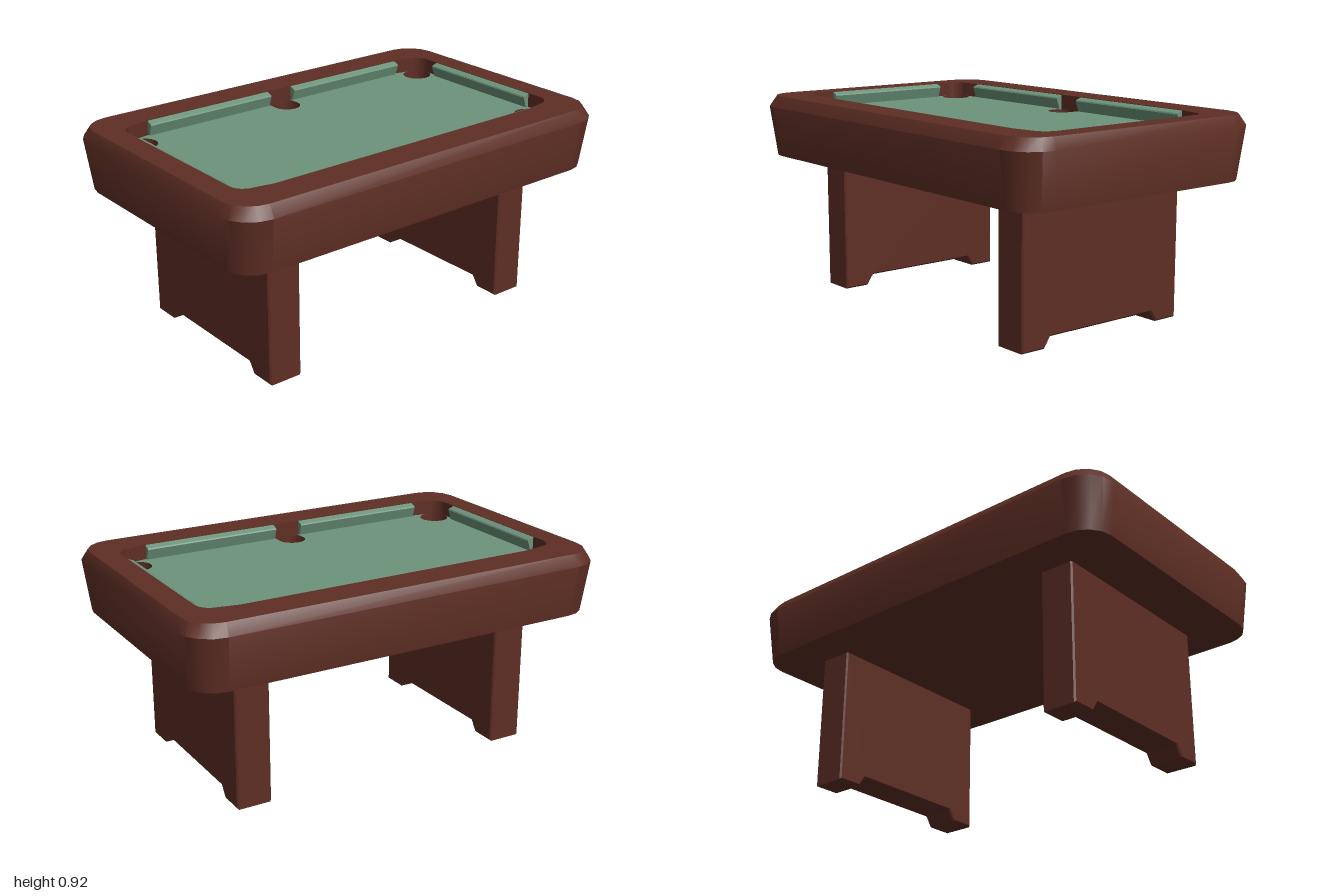
import * as THREE from 'three';
import { toCreasedNormals } from 'three/addons/utils/BufferGeometryUtils.js';

const wood = new THREE.MeshStandardMaterial({ color: 0x5e2e24 });
wood.name = 'wood';
const cloth = new THREE.MeshStandardMaterial({ color: 0x6d937b });
cloth.name = 'cloth';

const TOP = 0.915, BED = 0.848, FLOOR = 0.79; // main heights
const OX = 0.865, OZ = 0.47;                  // half size of the opening
const CORNER = { x: 0.797, z: 0.385, r: 0.068 };
const MIDDLE = { x: 0, z: 0.41, r: 0.062 };

// points on an arc, angles in degrees
function arc(cx, cy, r, from, to, n) {
  return Array.from({ length: n + 1 }, (_, i) => {
    const a = THREE.MathUtils.degToRad(from + (to - from) * i / n);
    return new THREE.Vector2(cx + r * Math.cos(a), cy + r * Math.sin(a));
  });
}

// mirror one quarter of an outline into all four, counterclockwise
function fourQuarters(quarter) {
  const flip = (sx, sy) => quarter.map(p => new THREE.Vector2(p.x * sx, p.y * sy));
  return [...flip(1, 1), ...flip(-1, 1).reverse(), ...flip(-1, -1), ...flip(1, -1).reverse()];
}

function roundedRect(hx, hz, r) {
  return fourQuarters(arc(hx - r, hz - r, r, 0, 90, 4));
}

// side skin through rings of equal point count
function loft(rings) {
  const pos = [], index = [], n = rings[0].points.length;
  for (const { y, points } of rings) for (const p of points) pos.push(p.x, y, p.y);
  for (let k = 0; k < rings.length - 1; k++) {
    for (let i = 0; i < n; i++) {
      const a = k * n + i, b = k * n + (i + 1) % n;
      index.push(a, a + n, b, b, a + n, b + n);
    }
  }
  const g = new THREE.BufferGeometry();
  g.setAttribute('position', new THREE.Float32BufferAttribute(pos, 3));
  g.setIndex(index);
  return toCreasedNormals(g, 0.72);
}

export function createModel() {
  const model = new THREE.Group();
  model.name = 'poolTable';
  const add = (name, geometry, material, x = 0, y = 0, z = 0, turn = 0) => {
    const mesh = new THREE.Mesh(geometry, material);
    mesh.name = name;
    mesh.position.set(x, y, z);
    mesh.rotation.y = turn;
    model.add(mesh);
    return mesh;
  };
  const flat = points => new THREE.ShapeGeometry(new THREE.Shape(points)).rotateX(-Math.PI / 2);

  // cabinet: flared sides with a bevelled upper edge
  const bottom = roundedRect(0.972, 0.622, 0.13);
  const topEdge = roundedRect(0.972, 0.62, 0.13);
  add('cabinetSides', loft([
    { y: 0.63, points: bottom },
    { y: 0.865, points: roundedRect(1, 0.653, 0.15) },
    { y: TOP, points: topEdge },
  ]), wood);
  add('cabinetBottom', new THREE.ShapeGeometry(new THREE.Shape(bottom)).rotateX(Math.PI / 2), wood, 0, 0.63);

  // rim with the playing opening cut through it
  const opening = fourQuarters([
    ...arc(CORNER.x, CORNER.z, CORNER.r, 0, 90, 6),
    new THREE.Vector2(0.71, OZ),
  ]);
  const rim = new THREE.Shape(topEdge);
  rim.holes.push(new THREE.Path(opening));
  add('rim', new THREE.ExtrudeGeometry(rim, { depth: TOP - FLOOR, bevelEnabled: false })
    .rotateX(-Math.PI / 2), wood, 0, FLOOR);
  add('pocketFloor', flat(opening), wood, 0, FLOOR + 0.002);

  // cloth bed, cut away around the six pockets
  add('bed', flat(fourQuarters([
    ...arc(CORNER.x, CORNER.z, CORNER.r, 0, -270, 16),
    new THREE.Vector2(0.71, OZ),
    new THREE.Vector2(MIDDLE.r, OZ),
    ...arc(MIDDLE.x, MIDDLE.z, MIDDLE.r, 0, -84, 6),
  ])), cloth, 0, BED);

  // pocket walls, seen from inside
  const wallMaterial = wood.clone();
  wallMaterial.name = 'pocketWood';
  wallMaterial.side = THREE.DoubleSide;
  const pocket = ({ x, z, r }) => add('pocket',
    new THREE.CylinderGeometry(r, r, BED - FLOOR, 16, 1, true), wallMaterial, x, (BED + FLOOR) / 2, z);
  for (const sz of [-1, 1]) {
    pocket({ ...MIDDLE, z: sz * MIDDLE.z });
    for (const sx of [-1, 1]) pocket({ x: sx * CORNER.x, z: sz * CORNER.z, r: CORNER.r });
  }

  // cushions: sloping top and undercut nose
  const profile = new THREE.Shape([
    [-0.002, BED - 0.005], [0.012, BED - 0.005], [0.03, 0.897], [0.027, 0.903], [-0.002, TOP - 0.001],
  ].map(p => new THREE.Vector2(...p)));
  const cushion = length => new THREE.ExtrudeGeometry(profile, { depth: length, bevelEnabled: false })
    .translate(0, 0, -length / 2);
  for (const s of [-1, 1]) {
    add('endCushion', cushion(0.63), cloth, s * OX, 0, 0, s > 0 ? Math.PI : 0);
    for (const sx of [-1, 1]) {
      add('sideCushion', cushion(0.65), cloth, sx * 0.392, 0, s * OZ, s * Math.PI / 2);
    }
  }

  // slab legs with a notch between the feet
  const side = new THREE.Shape([
    [-0.44, 0], [-0.32, 0], [-0.288, 0.048], [0.288, 0.048], [0.32, 0], [0.44, 0], [0.44, 0.64], [-0.44, 0.64],
  ].map(p => new THREE.Vector2(...p)));
  const bevel = 0.007, thick = 0.16;
  const leg = new THREE.ExtrudeGeometry(side, {
    depth: thick - 2 * bevel, bevelThickness: bevel, bevelSize: bevel, bevelOffset: -bevel, bevelSegments: 1,
  }).translate(0, 0, bevel - thick / 2).rotateY(Math.PI / 2);
  for (const s of [-1, 1]) add('leg', leg, wood, s * 0.654);

  return model;
}
